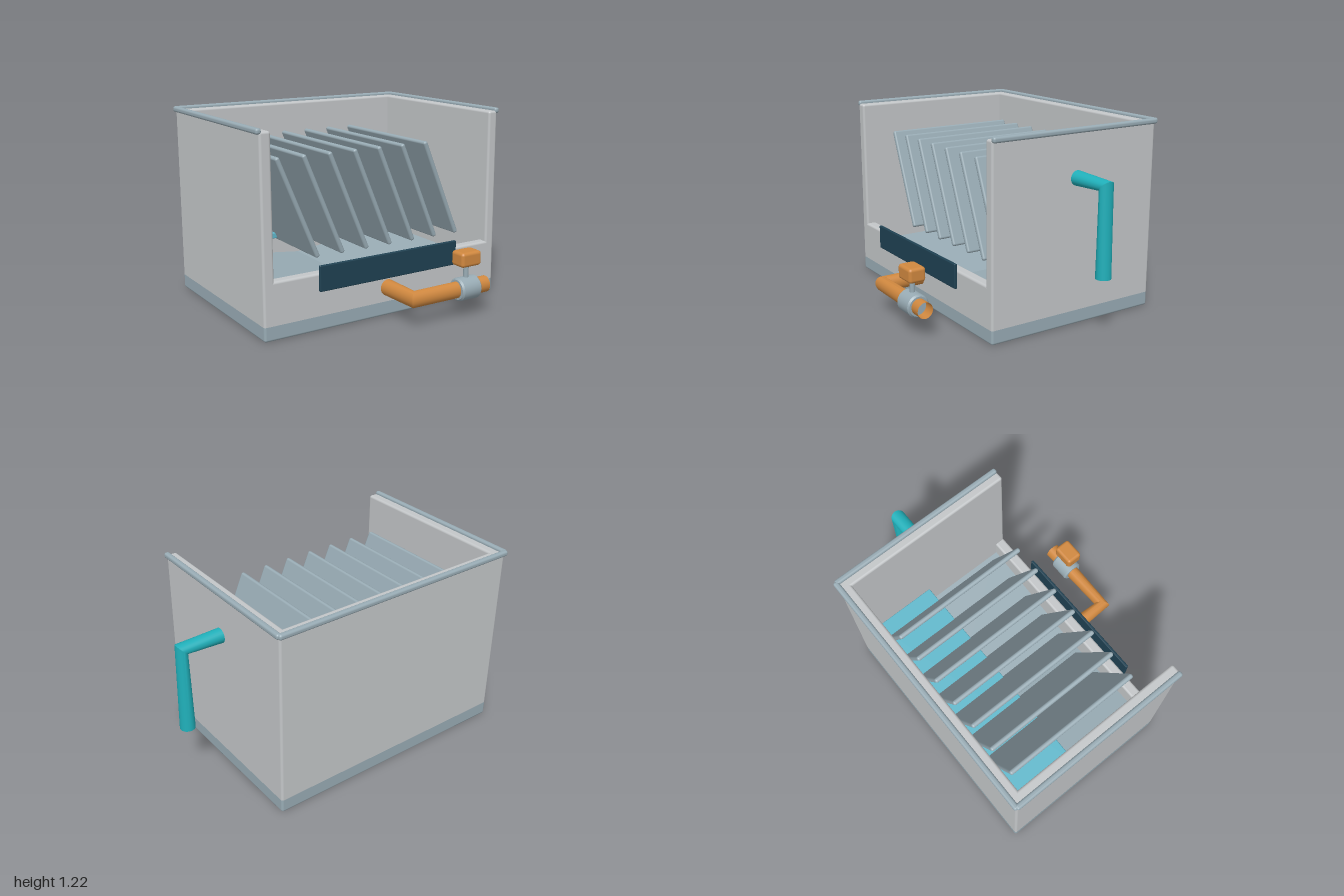
import * as THREE from 'three';
import { toCreasedNormals } from 'three/addons/utils/BufferGeometryUtils.js';
import { RoundedBoxGeometry } from 'three/addons/geometries/RoundedBoxGeometry.js';

const material = (name, color, side = THREE.FrontSide) => {
  const m = new THREE.MeshStandardMaterial({ color, side });
  m.name = name;
  return m;
};

// Open pipe through three points; the middle ring is mitred at the bend.
function elbowPipe(start, corner, end, radius) {
  const points = [start, corner, end].map((p) => new THREE.Vector3(...p));
  const d1 = points[1].clone().sub(points[0]).normalize();
  const d2 = points[2].clone().sub(points[1]).normalize();
  const directions = [d1, d1.clone().add(d2).normalize(), d2];
  const binormal = d1.clone().cross(d2).normalize();
  const geometry = new THREE.CylinderGeometry(1, 1, 2, 24, 2, true);
  const pos = geometry.attributes.position;
  const v = new THREE.Vector3();
  for (let i = 0; i < pos.count; i++) {
    const ring = Math.round(pos.getY(i)) + 1;
    const side = directions[ring].clone().cross(binormal);
    v.copy(points[ring])
      .addScaledVector(side, -pos.getX(i) * radius)
      .addScaledVector(binormal, pos.getZ(i) * radius);
    pos.setXYZ(i, v.x, v.y, v.z);
  }
  return toCreasedNormals(geometry, Math.PI / 5);
}

export function createModel() {
  const model = new THREE.Group();
  model.name = 'platedTank';

  const wallGrey = material('wallGrey', 0xc3c6c8);
  const steel = material('steel', 0x98abb4);
  const navy = material('navy', 0x1f4152);
  const teal = material('teal', 0x20b0ba, THREE.DoubleSide);
  const paleCyan = material('paleCyan', 0x60b8cc);
  const copper = material('copper', 0xd0883f, THREE.DoubleSide);

  const add = (name, geometry, mat) => {
    const mesh = new THREE.Mesh(geometry, mat);
    mesh.name = name;
    model.add(mesh);
    return mesh;
  };
  // Rounded box given by its extents on each axis
  const block = (name, [x0, x1], [y0, y1], [z0, z1], radius, mat) => {
    const mesh = add(name, new RoundedBoxGeometry(x1 - x0, y1 - y0, z1 - z0, 3, radius), mat);
    mesh.position.set((x0 + x1) / 2, (y0 + y1) / 2, (z0 + z1) / 2);
    return mesh;
  };

  // Tank shell
  block('base', [-0.98, 0.695], [0, 0.105], [-0.76, 0.44], 0.015, steel);
  block('leftOuterWall', [0.63, 0.695], [0.075, 1.2], [-0.76, 0.44], 0.015, wallGrey);
  block('rightOuterWall', [-0.98, -0.91], [0.075, 1.2], [-0.76, 0.44], 0.015, wallGrey);
  block('backWall', [-0.98, 0.695], [0.075, 1.2], [-0.76, -0.695], 0.015, wallGrey);
  block('frontWall', [-0.98, 0.695], [0.075, 0.35], [0.37, 0.44], 0.015, wallGrey);

  // Rim rails
  for (const x of [-0.981, 0.697])
    block('sideRail', [x - 0.0175, x + 0.0175], [1.184, 1.219], [-0.765, 0.44], 0.014, steel);
  block('backRail', [-0.99, 0.705], [1.184, 1.219], [-0.779, -0.744], 0.014, steel);

  // Floor sloping to the middle drain
  const floorShape = new THREE.Shape([
    [-0.92, 0.08], [0.64, 0.08], [0.64, 0.22], [-0.143, 0.13], [-0.92, 0.22],
  ].map(([x, y]) => new THREE.Vector2(x, y)));
  const floor = new THREE.ExtrudeGeometry(floorShape, { depth: 1.08, bevelEnabled: false });
  add('slopedFloor', floor, steel).position.z = -0.7;

  // Leaning plates
  for (let i = 0; i < 7; i++) {
    const plate = add('leaningPlate', new RoundedBoxGeometry(0.03, 0.68, 0.925, 3, 0.013), steel);
    plate.position.set(-0.66 + i * 0.1745, 0.703, -0.187);
    plate.rotation.z = 0.397;
  }

  // Cross shelf under the plates and front panel
  block('crossShelf', [-0.907, 0.622], [0.4, 0.437], [-0.645, -0.215], 0.006, paleCyan);
  block('frontPanel', [-0.638, 0.353], [0.25, 0.407], [0.46, 0.48], 0.006, navy);

  // Overflow pipe on the side
  add('sidePipe', elbowPipe([0.685, 0.918, -0.158], [0.953, 0.918, -0.158], [0.953, 0.373, -0.158], 0.047), teal);

  // Drain pipe with valve
  add('drainPipe', elbowPipe([-0.143, 0.179, 0.42], [-0.143, 0.179, 0.708], [0.4, 0.179, 0.708], 0.051), copper);
  const valveProfile = [[0, -0.073], [0.062, -0.073], [0.072, -0.062], [0.072, 0.062], [0.062, 0.073], [0, 0.073]]
    .map(([r, y]) => new THREE.Vector2(r, y));
  const valve = add('valveBody', toCreasedNormals(new THREE.LatheGeometry(valveProfile, 32), 0.5), steel);
  valve.rotation.z = -Math.PI / 2;
  valve.position.set(0.249, 0.179, 0.708);
  add('valveStem', new THREE.CylinderGeometry(0.0165, 0.0165, 0.12, 20), steel)
    .position.set(0.247, 0.285, 0.708);
  block('valveKnob', [0.173, 0.322], [0.325, 0.417], [0.653, 0.765], 0.02, copper);

  return model;
}
